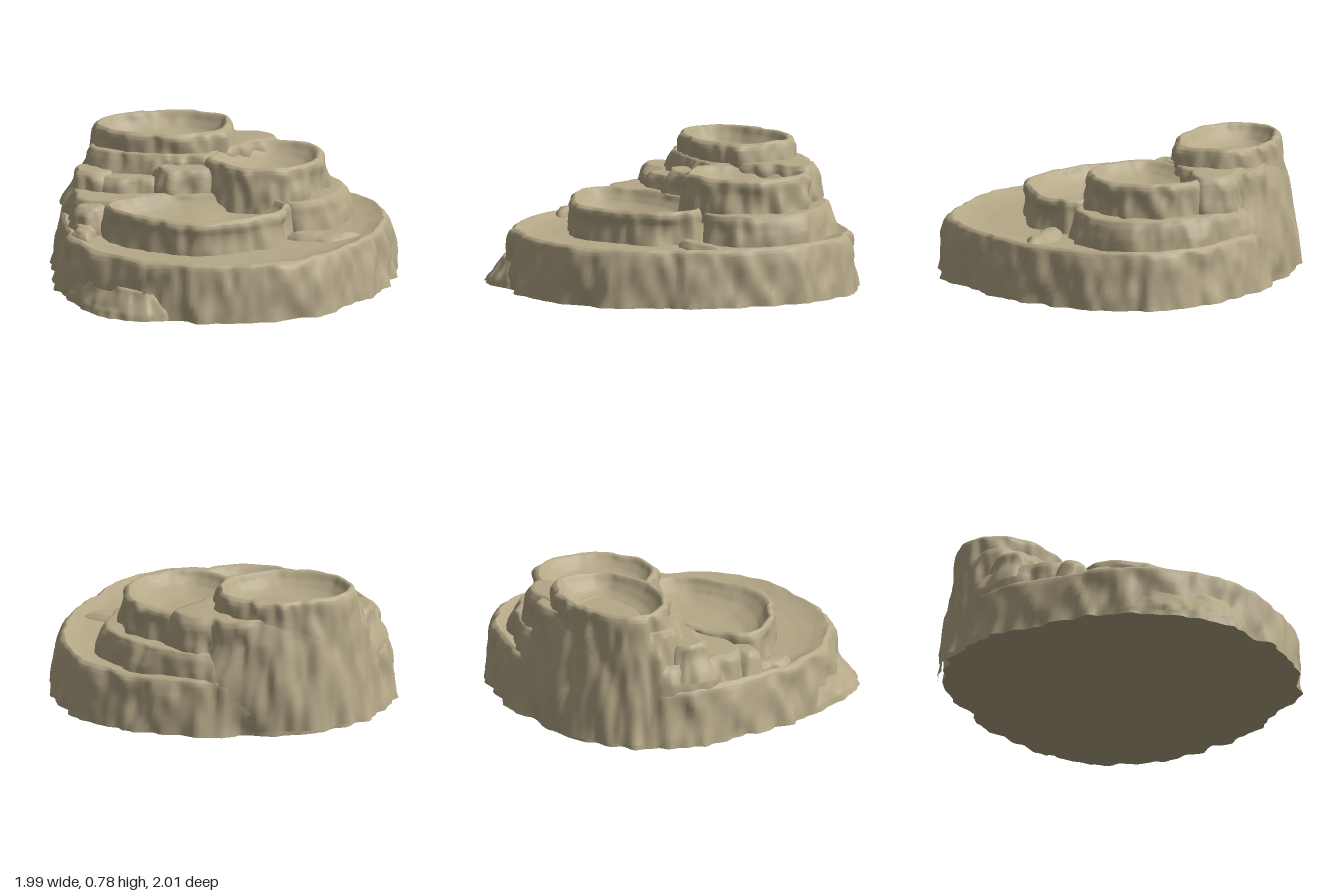
import * as THREE from 'three';

const stone = new THREE.MeshStandardMaterial({ color: 0xb5a888 });
stone.name = 'sandstone';

// Seeded 3D value noise in -1..1, used to weather the rock
function hash(x, y, z) {
  let h = (x * 374761393 + y * 668265263 + z * 1274126177) | 0;
  h = Math.imul(h ^ (h >>> 13), 1274126177);
  return ((h ^ (h >>> 16)) >>> 0) / 2147483648 - 1;
}
function noise(x, y, z) {
  const i = Math.floor(x), j = Math.floor(y), k = Math.floor(z);
  const s = (t) => t * t * (3 - 2 * t);
  const u = s(x - i), v = s(y - j), w = s(z - k);
  let sum = 0;
  for (let a = 0; a < 2; a++) for (let b = 0; b < 2; b++) for (let c = 0; c < 2; c++) {
    sum += hash(i + a, j + b, k + c) * (a ? u : 1 - u) * (b ? v : 1 - v) * (c ? w : 1 - w);
  }
  return sum;
}
const crag = (x, y, z) => noise(x * 10, y * 6, z * 10) * 0.65 + noise(x * 20 + 7, y * 8, z * 20) * 0.5;

// Lofts rings around an outline (ordered right, front, left, back).
// Each profile row is [outward offset, height, roughness]; the last ring closes to the centre.
function loft(name, outline, profile, segments = 150, closeBottom = false) {
  const curve = new THREE.CatmullRomCurve3(outline.map(([x, z]) => new THREE.Vector3(x, 0, z)), true);
  const ring = curve.getSpacedPoints(segments).slice(0, segments);
  const c = ring.reduce((sum, p) => sum.add(p), new THREE.Vector3()).divideScalar(segments);
  const rows = [];
  for (let i = 0; i < profile.length - 1; i++) {
    for (let s = 0; s < 3; s++) {
      rows.push(profile[i].map((v, k) => THREE.MathUtils.lerp(v, profile[i + 1][k], s / 3)));
    }
  }
  const last = profile[profile.length - 1];
  const bottom = profile[0];
  const all = [...rows.map((r) => [...r, 1]), [...last, 1], [...last, 0.5], [...last, 0]];
  if (closeBottom) all.unshift([...bottom, 0], [...bottom, 1]);

  const pos = [], idx = [];
  all.forEach(([offset, y, rough, shrink]) => ring.forEach((p) => {
    const dx = p.x - c.x, dz = p.z - c.z, r = Math.hypot(dx, dz);
    const reach = Math.max(r + offset, 0.02) * shrink;
    const x = c.x + dx / r * reach, z = c.z + dz / r * reach;
    const push = crag(x, y, z) * rough * shrink;
    const lift = y > bottom[1] + 0.02 ? noise(x * 8, 3, z * 8) * rough * 0.35 * shrink : 0;
    pos.push(x + dx / r * push, y + lift, z + dz / r * push);
  }));
  for (let i = 0; i < all.length - 1; i++) for (let j = 0; j < segments; j++) {
    const k = (j + 1) % segments;
    const a = i * segments + j, b = a + segments, d = i * segments + k, e = d + segments;
    idx.push(a, b, d, d, b, e);
  }
  const geo = new THREE.BufferGeometry();
  geo.setAttribute('position', new THREE.Float32BufferAttribute(pos, 3));
  geo.setIndex(idx);
  geo.computeVertexNormals();
  const mesh = new THREE.Mesh(geo, stone);
  mesh.name = name;
  return mesh;
}

// Craggy wall, rounded lip and gently dished bowl
function poolProfile(y0, rim, flare, depth, rough = 0.04) {
  const h = rim - y0;
  return [
    [flare, y0, rough], [flare * 0.75, y0 + h * 0.3, rough], [flare * 0.4, y0 + h * 0.65, rough],
    [0.012, rim - 0.04, rough * 0.8], [0.003, rim - 0.015, rough * 0.6], [-0.018, rim, rough * 0.45],
    [-0.035, rim - 0.006, rough * 0.4], [-0.06, rim - depth * 0.35, rough * 0.25],
    [-0.11, rim - depth * 0.7, 0.01], [-0.22, rim - depth, 0.005],
  ];
}

// Craggy wall with a rounded, lightly uneven top
function rockProfile(y0, top, flare, rough = 0.045) {
  const h = top - y0;
  return [
    [flare, y0, rough], [flare * 0.7, y0 + h * 0.4, rough], [flare * 0.3, y0 + h * 0.75, rough],
    [0, top - Math.min(h * 0.12, 0.04), rough * 0.8], [-0.025, top, rough * 0.6], [-0.08, top, rough * 0.4],
  ];
}

function ellipse(x, z, rx, rz) {
  return Array.from({ length: 10 }, (_, i) => {
    const a = i / 10 * Math.PI * 2;
    return [x + rx * Math.cos(a), z + rz * Math.sin(a)];
  });
}

export function createModel() {
  const group = new THREE.Group();
  group.name = 'terracedRockPools';

  // Wide base with the lowest, shallow pool
  group.add(loft('basePool', [
    [0.93, -0.2], [0.87, 0.16], [0.67, 0.55], [0.43, 0.81], [0.05, 0.925], [-0.32, 0.88], [-0.58, 0.75],
    [-0.8, 0.52], [-0.9, 0.25], [-0.92, 0.02], [-0.93, -0.2], [-0.89, -0.46], [-0.78, -0.68],
    [-0.57, -0.85], [-0.32, -0.925], [0.02, -0.93], [0.38, -0.86], [0.69, -0.71], [0.87, -0.49],
  ], poolProfile(0, 0.33, 0.06, 0.04), 260, true));

  // Low sloping ledge at the front left foot
  group.add(loft('footLedge', [
    [-0.36, 0.8], [-0.38, 0.91], [-0.58, 0.89], [-0.73, 0.77], [-0.85, 0.6], [-0.89, 0.4],
    [-0.78, 0.42], [-0.6, 0.65],
  ], [
    [0.035, 0.005, 0.04], [0.02, 0.04, 0.04], [-0.01, 0.07, 0.035], [-0.05, 0.11, 0.03], [-0.1, 0.16, 0.02],
  ]));

  // Low ridge dividing the front and right parts of the base pool
  group.add(loft('poolDivider', ellipse(0.55, 0.21, 0.2, 0.06), [
    [0.04, 0.27, 0.02], [0.015, 0.305, 0.02], [-0.02, 0.328, 0.02], [-0.045, 0.332, 0.015],
  ], 80));

  // Middle shelf wrapping around the back, running down to the ground
  group.add(loft('middleShelf', [
    [0.7, -0.38], [0.67, -0.18], [0.55, 0.0], [0.38, 0.07], [0.22, -0.08], [-0.1, -0.13], [-0.45, -0.11],
    [-0.68, -0.02], [-0.84, -0.04], [-0.88, -0.25], [-0.86, -0.48], [-0.75, -0.7], [-0.52, -0.87],
    [-0.15, -0.93], [0.2, -0.86], [0.52, -0.69],
  ], rockProfile(0.02, 0.465, 0.055, 0.04), 240));

  // Front pool
  group.add(loft('frontPool', [
    [0.35, 0.12], [0.3, 0.32], [0.12, 0.46], [-0.15, 0.55], [-0.4, 0.47], [-0.6, 0.32], [-0.7, 0.13],
    [-0.58, -0.02], [-0.35, -0.11], [0.0, -0.1], [0.22, -0.03],
  ], poolProfile(0.24, 0.482, 0.025, 0.11)));

  // Upper shoulder beneath the summit, forming the steep back wall
  group.add(loft('upperShoulder', [
    [0.14, -0.72], [0.04, -0.5], [-0.06, -0.3], [-0.3, -0.26], [-0.55, -0.31], [-0.73, -0.4],
    [-0.78, -0.55], [-0.67, -0.76], [-0.45, -0.88], [-0.15, -0.9], [0.08, -0.86],
  ], rockProfile(0.03, 0.665, 0.1), 200));

  // Saddle joining the summit to the right pool
  group.add(loft('saddle', [
    [0.32, -0.66], [0.14, -0.5], [0.0, -0.4], [-0.12, -0.5], [-0.12, -0.78], [0.06, -0.83], [0.24, -0.77],
  ], rockProfile(0.36, 0.672, 0.05), 120));

  // Right pool
  group.add(loft('rightPool', [
    [0.57, -0.36], [0.52, -0.13], [0.35, 0.01], [0.15, 0.04], [0.0, -0.06], [-0.09, -0.23],
    [-0.02, -0.42], [0.14, -0.6], [0.32, -0.65], [0.49, -0.55],
  ], poolProfile(0.4, 0.657, 0.035, 0.1)));

  // Summit pool
  group.add(loft('summitPool', [
    [0.06, -0.6], [0.0, -0.43], [-0.16, -0.34], [-0.33, -0.31], [-0.54, -0.37], [-0.68, -0.48],
    [-0.73, -0.62], [-0.62, -0.79], [-0.38, -0.87], [-0.12, -0.85], [0.02, -0.75],
  ], poolProfile(0.44, 0.775, 0.055, 0.13), 170));

  // Broken rock stepping down from the summit to the front pool and left shelf
  [
    [-0.2, -0.24, 0.2, 0.11, 0.61], [-0.5, -0.28, 0.2, 0.1, 0.55], [-0.74, -0.38, 0.13, 0.12, 0.57],
    [-0.78, 0.0, 0.1, 0.08, 0.45], [-0.82, 0.15, 0.06, 0.15, 0.36],
  ].forEach(([x, z, rx, rz, top]) => {
    group.add(loft('brokenRock', ellipse(x, z, rx, rz), rockProfile(top - 0.2, top, 0.05), 80));
  });

  return group;
}
